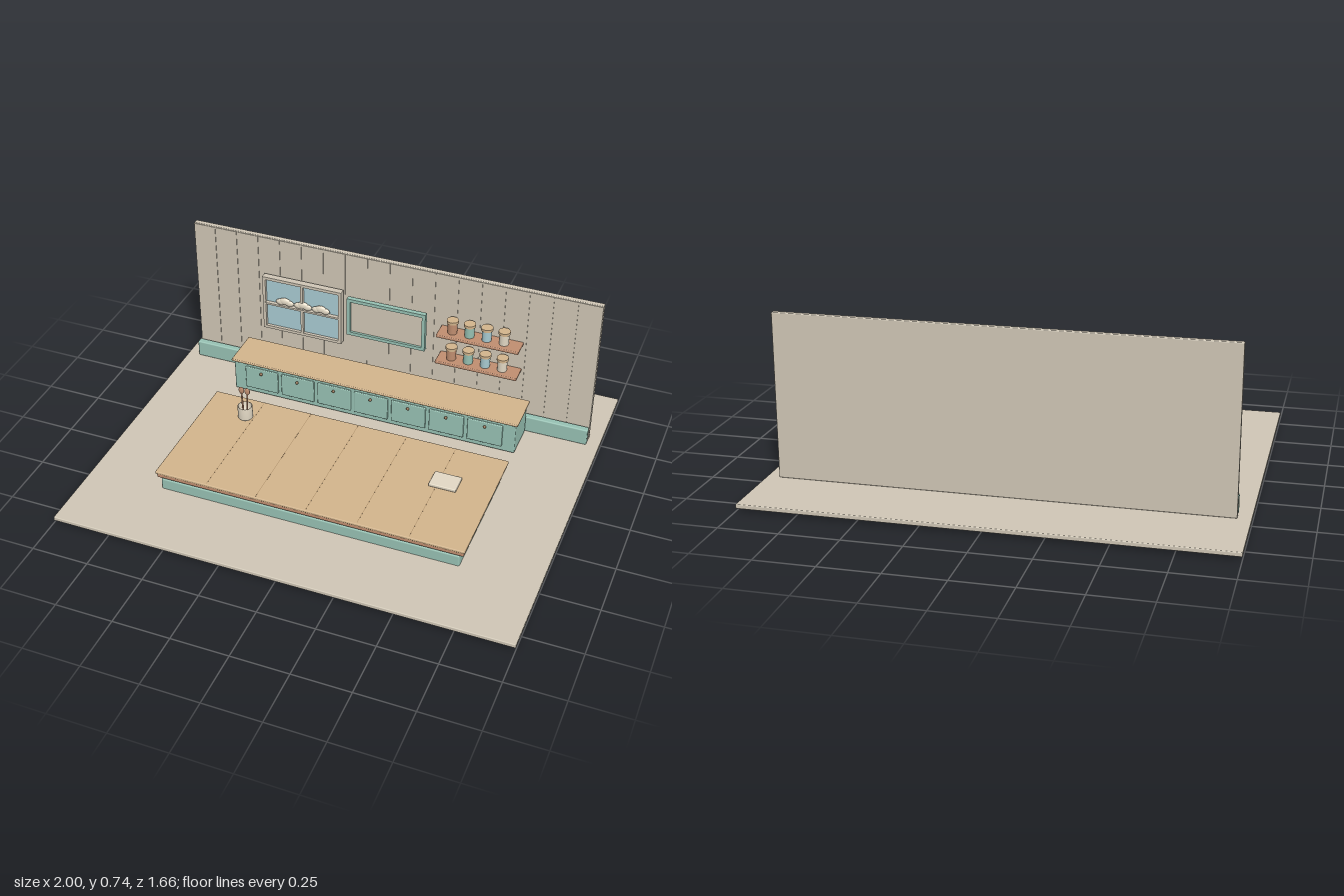
import * as THREE from 'three';
import { RoundedBoxGeometry } from 'three/addons/geometries/RoundedBoxGeometry.js';

const mat = (name, color) => {
  const m = new THREE.MeshStandardMaterial({ color });
  m.name = name;
  return m;
};

export function createModel() {
  const model = new THREE.Group();
  model.name = 'kitchenSet';

  const plaster = mat('plaster', 0xcfc6b5);
  const sage = mat('sageGreen', 0x97c1b3);
  const wood = mat('paleWood', 0xd2b48c);
  const clay = mat('terracotta', 0xc08e70);
  const glass = mat('windowBlue', 0xa8cbd2);
  const cream = mat('cream', 0xe2d8c4);
  const seamBrown = mat('seamBrown', 0xa98a64);
  const knobBrown = mat('knobBrown', 0x8a6a4c);

  const add = (parent, name, geometry, material, x, y, z) => {
    const mesh = new THREE.Mesh(geometry, material);
    mesh.name = name;
    mesh.position.set(x, y, z);
    parent.add(mesh);
    return mesh;
  };
  // Box given by its limits, softened when a radius is passed
  const box = (parent, name, material, [x0, x1], [y0, y1], [z0, z1], r = 0) => {
    const s = [x1 - x0, y1 - y0, z1 - z0];
    const g = r ? new RoundedBoxGeometry(...s, 2, r) : new THREE.BoxGeometry(...s);
    return add(parent, name, g, material, (x0 + x1) / 2, (y0 + y1) / 2, (z0 + z1) / 2);
  };
  const group = (name) => {
    const g = new THREE.Group();
    g.name = name;
    model.add(g);
    return g;
  };

  // Floor, wall and skirting
  const room = group('room');
  box(room, 'floor', plaster, [-1, 1], [0.012, 0.031], [-0.83, 0.83], 0.004);
  box(room, 'wall', plaster, [-0.945, 0.945], [0.031, 0.737], [-0.512, -0.487], 0.004);
  const plankWidth = 1.89 / 18;
  for (let i = 0; i < 18; i++) {
    const x = -0.945 + i * plankWidth;
    box(room, 'wallPlank', plaster, [x + 0.001, x + plankWidth - 0.001], [0.033, 0.733], [-0.488, -0.484]);
  }
  box(room, 'skirting', sage, [-0.945, 0.945], [0.033, 0.112], [-0.472, -0.441], 0.006);

  // Island with a two-layer top
  const island = group('island');
  box(island, 'islandBase', sage, [-0.665, 0.665], [0, 0.083], [-0.097, 0.497], 0.008);
  box(island, 'islandNeck', sage, [-0.655, 0.655], [0.07, 0.092], [-0.087, 0.487]);
  box(island, 'islandSlab', clay, [-0.682, 0.682], [0.087, 0.11], [-0.104, 0.5], 0.006);
  box(island, 'islandTop', wood, [-0.687, 0.687], [0.107, 0.12], [-0.108, 0.504], 0.004);
  for (let i = -2; i <= 2; i++) {
    const x = i * 0.225;
    box(island, 'topSeam', seamBrown, [x - 0.001, x + 0.001], [0.119, 0.1204], [-0.1, 0.496]);
  }
  box(island, 'tray', cream, [0.42, 0.54], [0.121, 0.136], [0.085, 0.175], 0.004);

  // Crock holding two spoons
  const crock = group('utensilCrock');
  crock.position.set(-0.487, 0.12, 0.02);
  const crockProfile = [[0, 0], [0.03, 0], [0.033, 0.004], [0.033, 0.061], [0.029, 0.061], [0.028, 0.01], [0, 0.01]]
    .map(([x, y]) => new THREE.Vector2(x, y));
  add(crock, 'crockBody', new THREE.LatheGeometry(crockProfile, 28), cream, 0, 0, 0);
  for (const side of [-1, 1]) {
    const handle = add(crock, 'spoonHandle', new THREE.CylinderGeometry(0.004, 0.004, 0.125, 10), clay, side * 0.011, 0.072, 0);
    handle.rotation.z = -side * 0.05;
    const bowl = add(crock, 'spoonBowl', new THREE.SphereGeometry(0.013, 16, 10), clay, side * 0.014, 0.143, 0);
    bowl.scale.set(1, 1.35, 0.4);
  }

  // Back counter with seven doors
  const counter = group('backCounter');
  box(counter, 'cabinet', sage, [-0.668, 0.668], [0.04, 0.196], [-0.434, -0.262], 0.005);
  box(counter, 'counterTop', wood, [-0.678, 0.678], [0.193, 0.205], [-0.442, -0.251], 0.004);
  for (let i = -3; i <= 3; i++) {
    const x = i * 0.177;
    box(counter, 'cabinetDoor', sage, [x - 0.08, x + 0.08], [0.065, 0.177], [-0.267, -0.254], 0.004);
    add(counter, 'doorKnob', new THREE.SphereGeometry(0.007, 14, 10), knobBrown, x, 0.157, -0.249);
  }

  // Rectangular frame cut through its middle
  const frame = (parent, name, material, [x0, x1], [y0, y1], [z0, z1], t) => {
    const rect = (p, d) => {
      p.moveTo(x0 + d, y0 + d);
      p.lineTo(x1 - d, y0 + d);
      p.lineTo(x1 - d, y1 - d);
      p.lineTo(x0 + d, y1 - d);
      p.closePath();
      return p;
    };
    const shape = rect(new THREE.Shape(), 0);
    shape.holes.push(rect(new THREE.Path(), t));
    return add(parent, name, new THREE.ExtrudeGeometry(shape, { depth: z1 - z0, bevelEnabled: false }), material, 0, 0, z0);
  };

  // Window with glazing bars and loaves on its sill bar
  const win = group('window');
  frame(win, 'windowFrame', plaster, [-0.597, -0.215], [0.28, 0.554], [-0.472, -0.442], 0.014);
  box(win, 'windowPane', glass, [-0.59, -0.222], [0.287, 0.547], [-0.464, -0.456]);
  box(win, 'verticalBar', plaster, [-0.412, -0.4], [0.29, 0.544], [-0.46, -0.441]);
  box(win, 'sillBar', plaster, [-0.586, -0.226], [0.412, 0.421], [-0.46, -0.438]);
  for (const x of [-0.49, -0.402, -0.315]) {
    for (const [dx, dy, r] of [[-0.02, 0, 0.024], [0.02, 0, 0.024], [0, 0.006, 0.028]]) {
      const puff = add(win, 'loaf', new THREE.SphereGeometry(r, 20, 12), cream, x + dx, 0.436 + dy, -0.447);
      puff.scale.set(1, 0.62, 0.4);
    }
  }

  // Framed wall board
  const board = group('wallBoard');
  frame(board, 'boardFrame', sage, [-0.187, 0.182], [0.343, 0.534], [-0.462, -0.44], 0.016);
  box(board, 'boardPanel', plaster, [-0.178, 0.173], [0.352, 0.525], [-0.459, -0.451]);

  // Two shelves, each with four lidded jars
  const shelves = group('shelves');
  const jarColours = [clay, sage, glass, cream];
  for (const y of [0.323, 0.462]) {
    box(shelves, 'shelf', clay, [0.245, 0.618], [y, y + 0.014], [-0.484, -0.398], 0.004);
    jarColours.forEach((colour, i) => {
      const x = 0.307 + i * 0.078;
      add(shelves, 'jar', new THREE.CylinderGeometry(0.022, 0.021, 0.053, 24), colour, x, y + 0.04, -0.442);
      add(shelves, 'jarLid', new THREE.CylinderGeometry(0.026, 0.026, 0.013, 24), wood, x, y + 0.073, -0.442);
    });
  }

  return model;
}
